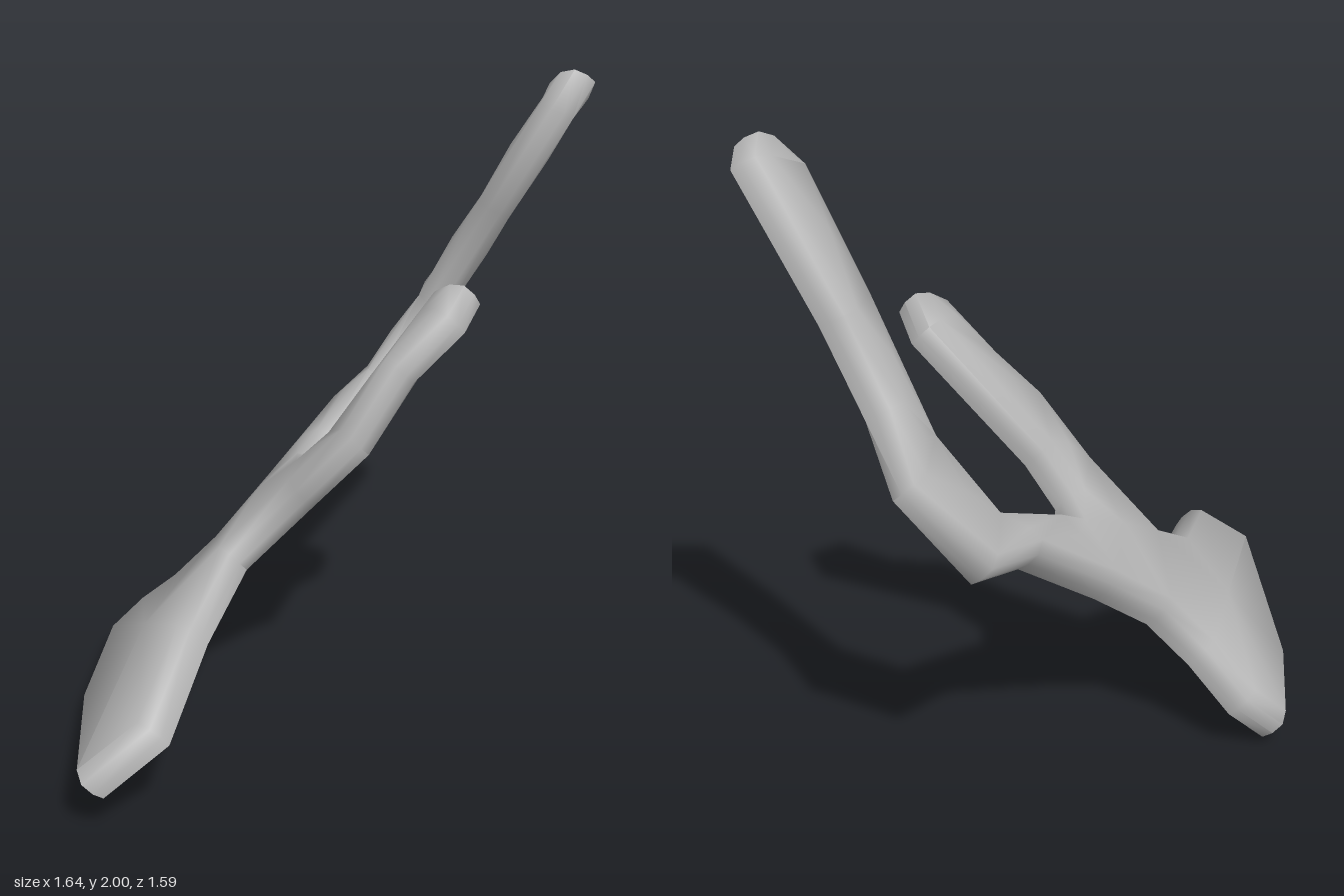
import * as THREE from 'three';
import { toCreasedNormals } from 'three/addons/utils/BufferGeometryUtils.js';

// Mid-thickness outline of the branching slab, counter-clockwise seen from its upper side
const OUTLINE = [
  // 0-3: front edge of the wide foot
  [-0.715, 0.17, 0.782], [-0.525, 0.315, 0.738], [-0.435, 0.41, 0.32], [-0.32, 0.55, 0.09],
  // 4-10: short front prong
  [-0.105, 0.785, 0.125], [0.06, 0.985, 0.2], [0.2, 1.17, 0.078], [0.35, 1.335, 0.095],
  [0.405, 1.395, -0.005], [0.36, 1.335, -0.125], [0.025, 0.9, -0.035],
  // 11-13: crotch between the prongs
  [-0.07, 0.78, -0.11], [-0.065, 0.75, -0.235], [0, 0.8, -0.31],
  // 14-25: long rear prong, out and back
  [0.175, 0.92, -0.55], [0.345, 1.17, -0.588], [0.53, 1.54, -0.448], [0.705, 1.88, -0.345],
  [0.782, 1.984, -0.415], [0.777, 1.945, -0.52], [0.555, 1.54, -0.602], [0.435, 1.3, -0.675],
  [0.365, 1.125, -0.785], [0.165, 0.86, -0.752], [0.04, 0.81, -0.565], [-0.185, 0.605, -0.365],
  // 26-30: rear and lower edge of the foot
  [-0.355, 0.445, -0.235], [-0.49, 0.305, -0.247], [-0.615, 0.175, -0.327], [-0.73, 0.07, -0.293],
  [-0.783, 0.04, 0.14],
].map((p) => new THREE.Vector3(...p));

// Panels that fill the faces between outline corners.
// top and under lift the panel's centre outwards; the foot is arched, so its underside is hollow.
const PANELS = [
  { top: 0.025, under: -0.025, corners: [30, 0, 1, 2, 3, 26, 27, 28, 29] }, // foot
  { top: 0.022, under: 0, corners: [3, 4, 11, 12, 25, 26] }, // trunk
  ...[
    [4, 5, 10, 11], [5, 6, 9, 10], [6, 7, 8, 9], // front prong
    [12, 13, 24, 25], [13, 14, 23, 24], [14, 15, 22, 23], // rear prong, lower half
    [15, 21, 22], [15, 16, 20, 21], [16, 17, 19, 20], [17, 18, 19], // rear prong, upper half
  ].map((corners) => ({ top: 0.01, under: 0.012, corners })),
];

// Rounded edge section: offset along the surface normal, inset from the outline
const RINGS = [[-0.056, 0], [-0.022, -0.01], [0.022, -0.008], [0.056, 0.02]];

// Upper-side normal: the rear prong turns steeper towards its tip
function surfaceNormal(p) {
  const steep = p.z < -0.3 ? THREE.MathUtils.smoothstep(p.y, 1.0, 1.4) : 0;
  const angle = THREE.MathUtils.lerp(0.76, 0.44, steep);
  return new THREE.Vector3(-Math.cos(angle), Math.sin(angle), 0);
}

function branchGeometry() {
  const n = OUTLINE.length;
  const points = [];
  const index = [];
  for (const [lift, inset] of RINGS) {
    OUTLINE.forEach((p, i) => {
      const normal = surfaceNormal(p);
      const before = p.clone().sub(OUTLINE[(i + n - 1) % n]).normalize();
      const after = OUTLINE[(i + 1) % n].clone().sub(p).normalize();
      const inward = normal.clone().cross(before.add(after)).normalize();
      points.push(p.clone().addScaledVector(normal, lift).addScaledVector(inward, inset));
    });
  }
  // rim
  for (let r = 0; r < RINGS.length - 1; r++) {
    for (let i = 0; i < n; i++) {
      const a = r * n + i, b = r * n + ((i + 1) % n);
      index.push(a, b, b + n, a, b + n, a + n);
    }
  }
  // upper and under faces: each panel is a fan around its centre
  for (const { top, under, corners } of PANELS) {
    for (const upper of [true, false]) {
      const base = upper ? (RINGS.length - 1) * n : 0;
      const centre = new THREE.Vector3();
      corners.forEach((c) => centre.addScaledVector(points[base + c], 1 / corners.length));
      centre.addScaledVector(surfaceNormal(centre), upper ? top : -under);
      const hub = points.push(centre) - 1;
      corners.forEach((c, i) => {
        const a = base + c, b = base + corners[(i + 1) % corners.length];
        index.push(hub, upper ? a : b, upper ? b : a);
      });
    }
  }
  const geometry = new THREE.BufferGeometry().setFromPoints(points);
  geometry.setIndex(index);
  // stand on the ground, centred
  geometry.computeBoundingBox();
  const { min, max } = geometry.boundingBox;
  geometry.translate(-(min.x + max.x) / 2, -min.y, -(min.z + max.z) / 2);
  return toCreasedNormals(geometry, 1.2);
}

export function createModel() {
  const grey = new THREE.MeshStandardMaterial({ color: 0xb4b4b4 });
  grey.name = 'grey';
  const branch = new THREE.Mesh(branchGeometry(), grey);
  branch.name = 'forkedBranch';
  const group = new THREE.Group();
  group.name = 'forkedBranchModel';
  group.add(branch);
  return group;
}
